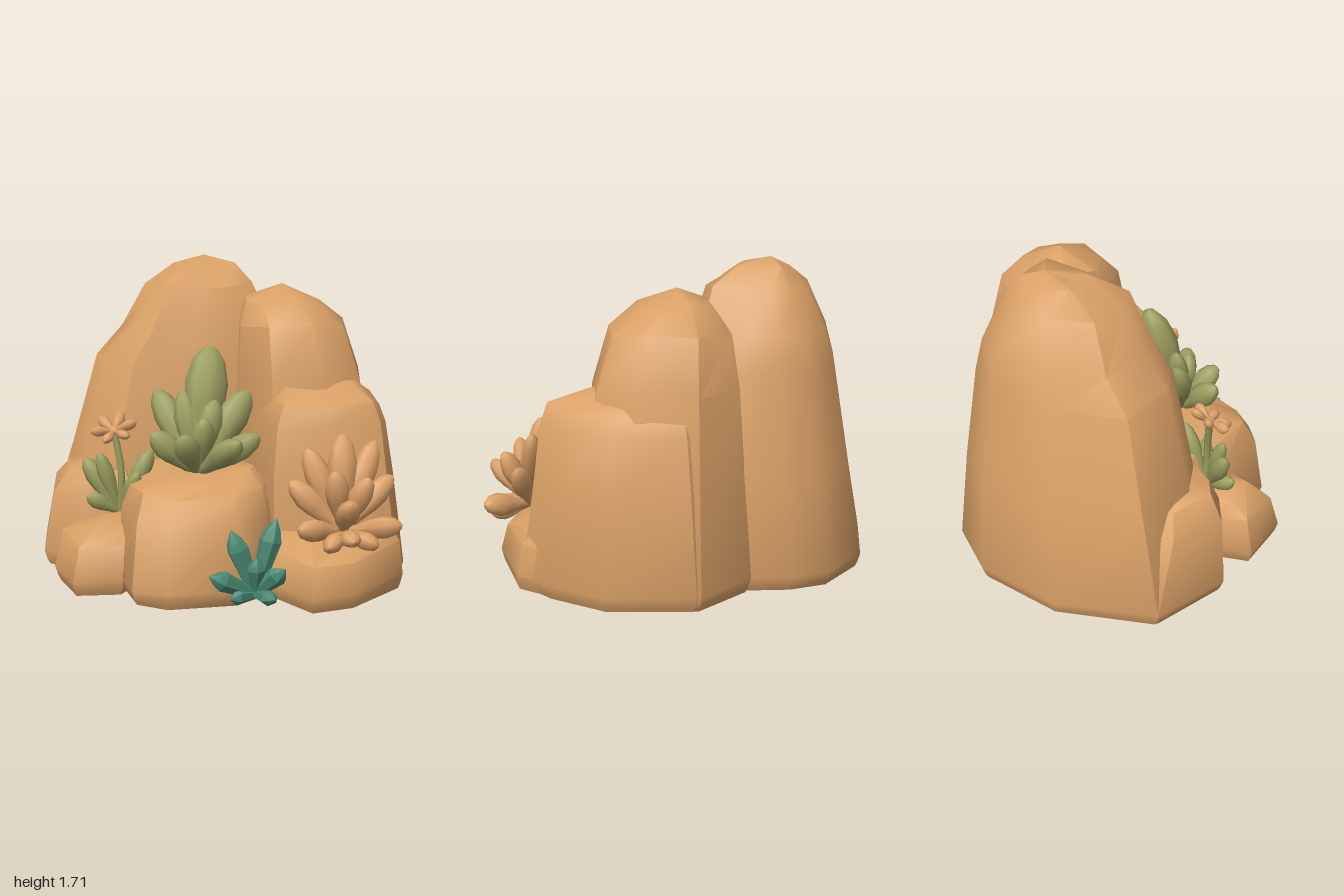
import * as THREE from 'three';
import { toCreasedNormals } from 'three/addons/utils/BufferGeometryUtils.js';

const mat = (name, color) => Object.assign(new THREE.MeshStandardMaterial({ color }), { name });

// Rock: a footprint polygon [x, z] lofted through levels [y, x0, x1, z0, z1] to an apex.
function rock(name, material, outline, levels, apex) {
  const area = outline.reduce((s, [x, z], i) => {
    const [u, v] = outline[(i + 1) % outline.length];
    return s + x * v - u * z;
  }, 0);
  const poly = area > 0 ? outline : [...outline].reverse();
  const xs = poly.map(p => p[0]), zs = poly.map(p => p[1]);
  const ax = Math.min(...xs), bx = Math.max(...xs), az = Math.min(...zs), bz = Math.max(...zs);
  const e = 0.03;
  const all = [[0, ax + e, bx - e, az + e, bz - e], [0.03, ax + e / 2, bx - e / 2, az + e / 2, bz - e / 2],
    [0.08, ax, bx, az, bz], ...levels];
  const n = poly.length, pos = [], idx = [];
  all.forEach(([y, x0, x1, z0, z1], k) => poly.forEach(([x, z], i) => {
    const wobble = k > 2 ? 0.018 * Math.sin(i * 2.3 + k) : 0;
    pos.push(x0 + (x - ax) / (bx - ax) * (x1 - x0), y + wobble, z0 + (z - az) / (bz - az) * (z1 - z0));
  }));
  const top = all.length * n;
  pos.push(...apex, (ax + bx) / 2, 0, (az + bz) / 2);
  for (let i = 0; i < n; i++) {
    const j = (i + 1) % n, last = top - n;
    for (let r = 0; r < last; r += n) idx.push(r + i, r + n + i, r + j, r + n + i, r + n + j, r + j);
    idx.push(top, last + j, last + i, top + 1, i, j);
  }
  const g = new THREE.BufferGeometry();
  g.setAttribute('position', new THREE.Float32BufferAttribute(pos, 3));
  g.setIndex(idx);
  const mesh = new THREE.Mesh(toCreasedNormals(g, 0.75), material);
  mesh.name = name;
  return mesh;
}

const v2 = pts => pts.map(p => new THREE.Vector2(...p));
const leafGeo = new THREE.LatheGeometry(
  v2([[0, 0], [0.32, 0.02], [0.5, 0.25], [0.9, 0.52], [1, 0.7], [0.75, 0.88], [0.35, 0.97], [0, 1]]), 8);
const crystalGeo = toCreasedNormals(new THREE.LatheGeometry(
  v2([[0, 0], [0.5, 0.02], [1, 0.7], [0.75, 0.82], [0, 1]]), 6), 0.3);

// Leaf stretched from base to tip
function leaf(geo, material, base, tip, width, thick = 0.8) {
  const a = new THREE.Vector3(...base), d = new THREE.Vector3(...tip).sub(a);
  const m = new THREE.Mesh(geo, material);
  m.name = 'leaf';
  m.position.copy(a);
  m.scale.set(width / 2, d.length(), width / 2 * thick);
  m.quaternion.setFromUnitVectors(new THREE.Vector3(0, 1, 0), d.normalize());
  return m;
}

// Plant: a fan of leaves [x, y, z, width] from one root
function plant(name, geo, material, base, leaves) {
  const g = new THREE.Group();
  g.name = name;
  for (const [x, y, z, w] of leaves) g.add(leaf(geo, material, base, [x, y, z], w));
  return g;
}

export function createModel() {
  const stone = mat('sandstone', 0xd9a066);
  const coral = mat('coral leaf', 0xdca068);
  const green = mat('olive leaf', 0x9a9e5e);
  const teal = mat('teal leaf', 0x4a8a74);
  const model = new THREE.Group();
  model.name = 'desertRock';

  // Rock masses
  model.add(
    rock('backPeak', stone,
      [[-0.94, -0.6], [-0.48, -0.92], [0, -1], [0.32, -0.88], [0.45, -0.7], [0.53, -0.46], [0.48, -0.1],
        [0.1, 0.05], [-0.3, 0.05], [-0.75, 0.02], [-0.92, -0.2]],
      [[0.6, -0.78, 0.49, -0.92, 0.03], [1.15, -0.63, 0.42, -0.83, -0.02], [1.32, -0.48, 0.36, -0.79, -0.07],
        [1.55, -0.35, 0.24, -0.68, -0.13], [1.65, -0.18, 0.16, -0.58, -0.28]], [0, 1.705, -0.47]),
    rock('leftShoulder', stone,
      [[-0.94, -0.6], [-1, -0.15], [-0.82, 0.05], [-0.5, 0.1], [-0.4, -0.3], [-0.6, -0.7]],
      [[0.44, -0.94, -0.45, -0.52, 0.06], [0.56, -0.85, -0.5, -0.42, 0.02]], [-0.68, 0.61, -0.2]),
    rock('leftBoulder', stone,
      [[-0.97, 0.12], [-0.91, 0.43], [-0.65, 0.47], [-0.5, 0.3], [-0.5, 0], [-0.82, 0.03]],
      [[0.27, -0.92, -0.5, 0.02, 0.43], [0.35, -0.78, -0.52, 0.06, 0.34]], [-0.66, 0.38, 0.2]),
    rock('centerLedge', stone,
      [[-0.63, 0.63], [-0.48, 0.75], [-0.1, 0.77], [0.1, 0.66], [0.24, 0.3], [0.15, -0.1], [-0.6, -0.1], [-0.66, 0.3]],
      [[0.42, -0.62, 0.22, -0.1, 0.71], [0.55, -0.57, 0.2, -0.1, 0.63], [0.61, -0.42, 0.14, -0.06, 0.46]],
      [-0.2, 0.63, 0.25]),
    rock('rightPeak', stone,
      [[0.52, -0.5], [0.85, -0.32], [0.95, 0.05], [0.85, 0.35], [0.55, 0.48], [0.2, 0.4], [0.04, 0.1], [0.12, -0.3]],
      [[1.08, 0.07, 0.78, -0.41, 0.38], [1.36, 0.09, 0.69, -0.36, 0.3], [1.48, 0.13, 0.56, -0.25, 0.16]],
      [0.35, 1.57, -0.05]),
    rock('rightLedge', stone,
      [[0.6, -0.42], [0.86, -0.3], [0.99, 0.15], [0.9, 0.5], [0.8, 0.67], [0.45, 0.68], [0.15, 0.55], [0.08, 0.1], [0.2, -0.3]],
      [[0.6, 0.09, 0.92, -0.36, 0.62], [0.88, 0.12, 0.87, -0.32, 0.59], [0.98, 0.17, 0.81, -0.28, 0.56],
        [1.06, 0.24, 0.72, -0.2, 0.36]], [0.45, 1.09, 0.1]),
    rock('frontLedge', stone,
      [[0.05, 0.6], [0.22, 0.97], [0.46, 0.94], [0.82, 0.69], [0.9, 0.4], [0.3, 0.4]],
      [[0.24, 0.09, 0.88, 0.4, 0.92], [0.31, 0.14, 0.84, 0.4, 0.78]], [0.5, 0.34, 0.58]));

  // Olive rosette on the center ledge
  model.add(plant('oliveSucculent', leafGeo, green, [-0.22, 0.6, 0.33], [
    [-0.11, 1.27, 0.17, 0.24], [-0.4, 1.03, 0.11, 0.16], [0.08, 1.03, 0.26, 0.18], [-0.28, 1.04, 0.22, 0.14],
    [-0.47, 0.84, 0.35, 0.14], [0.09, 0.82, 0.45, 0.15], [-0.34, 0.85, 0.51, 0.14], [-0.05, 0.82, 0.58, 0.15],
    [-0.2, 0.92, 0.42, 0.13], [-0.12, 1.0, 0.33, 0.14]]));

  // Coral rosette on the front ledge
  model.add(plant('coralSucculent', leafGeo, coral, [0.45, 0.36, 0.76], [
    [0.47, 0.86, 0.67, 0.16], [0.28, 0.79, 0.66, 0.14], [0.66, 0.81, 0.65, 0.14], [0.18, 0.63, 0.7, 0.13],
    [0.74, 0.63, 0.71, 0.13], [0.37, 0.71, 0.85, 0.13], [0.55, 0.67, 0.87, 0.13], [0.41, 0.58, 1.0, 0.13],
    [0.18, 0.42, 0.86, 0.13], [0.72, 0.42, 0.91, 0.13], [0.32, 0.33, 0.93, 0.12], [0.58, 0.33, 0.94, 0.12],
    [0.45, 0.36, 0.95, 0.11]]));

  // Teal spiky plant at the foot
  model.add(plant('tealSucculent', crystalGeo, teal, [-0.02, 0.07, 0.78], [
    [0.09, 0.47, 0.79, 0.12], [-0.15, 0.42, 0.78, 0.12], [-0.28, 0.21, 0.85, 0.11], [-0.17, 0.08, 0.85, 0.09],
    [0.11, 0.23, 0.89, 0.11], [0.03, 0.1, 0.97, 0.1], [-0.03, 0.28, 0.84, 0.1]]));

  // Flowering plant: leaves, stem and bloom
  const flowering = plant('floweringPlant', leafGeo, green, [-0.61, 0.36, 0.13], [
    [-0.43, 0.7, 0.13, 0.11], [-0.79, 0.66, 0.07, 0.11], [-0.79, 0.47, 0.15, 0.09], [-0.52, 0.6, 0.22, 0.09],
    [-0.72, 0.7, 0.13, 0.09]]);
  const stemPath = new THREE.CatmullRomCurve3([[-0.61, 0.34, 0.13], [-0.6, 0.6, 0.14], [-0.63, 0.8, 0.11]]
    .map(p => new THREE.Vector3(...p)));
  const stem = new THREE.Mesh(new THREE.TubeGeometry(stemPath, 6, 0.02, 6), green);
  stem.name = 'stem';
  const bloom = new THREE.Group();
  bloom.name = 'bloom';
  bloom.position.set(-0.63, 0.81, 0.11);
  bloom.rotation.set(0.45, 0, 0.2);
  for (let i = 0; i < 6; i++) {
    const a = i / 6 * Math.PI * 2;
    bloom.add(leaf(leafGeo, coral, [0, 0, 0], [Math.cos(a) * 0.125, 0.03, Math.sin(a) * 0.125], 0.065));
  }
  const heart = new THREE.Mesh(new THREE.SphereGeometry(0.03, 8, 6), coral);
  heart.name = 'bloomCenter';
  bloom.add(heart);
  flowering.add(stem, bloom);
  model.add(flowering);
  return model;
}
